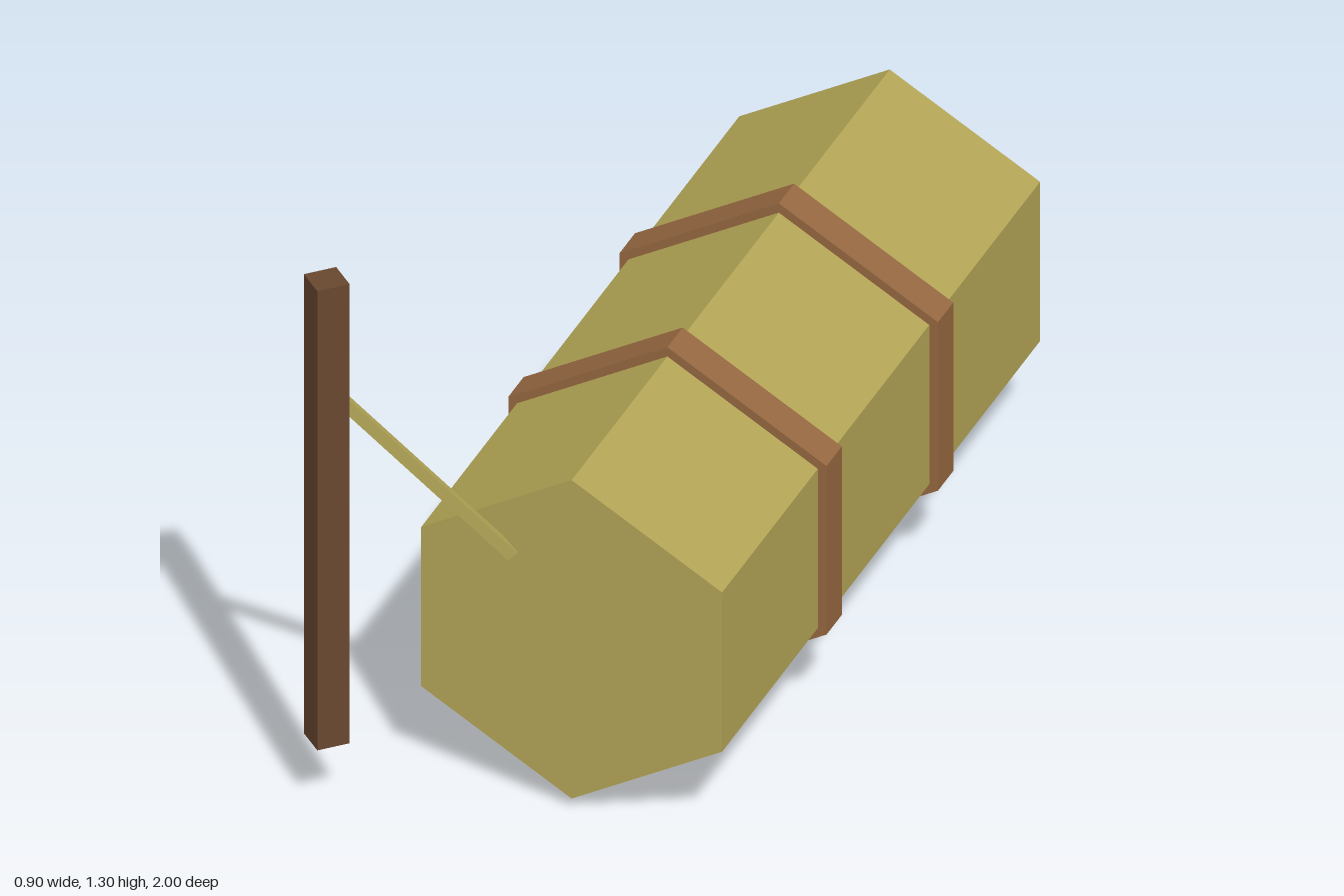
import * as THREE from 'three';

const material = (name, color) => {
  const m = new THREE.MeshStandardMaterial({ color, flatShading: true });
  m.name = name;
  return m;
};

// Points of a hexagon standing on a corner
const hexagon = (r) => Array.from({ length: 6 }, (_, i) => {
  const a = Math.PI / 2 + (i * Math.PI) / 3;
  return new THREE.Vector2(r * Math.cos(a), r * Math.sin(a));
});

export function createModel() {
  const group = new THREE.Group();
  const straw = material('straw', 0xb3a556);
  const strapBrown = material('strapBrown', 0x966840);
  const darkWood = material('darkWood', 0x68472f);

  const add = (name, geometry, mat, x, y, z) => {
    const mesh = new THREE.Mesh(geometry, mat);
    mesh.name = name;
    mesh.position.set(x, y, z);
    group.add(mesh);
    return mesh;
  };
  const cx = 0.087, cy = 0.42;

  // Long hexagonal body
  const body = new THREE.ExtrudeGeometry(new THREE.Shape(hexagon(0.397)), { depth: 1.77, bevelEnabled: false });
  add('body', body, straw, cx, cy, -1);

  // Two straps wrapped round the body
  const ring = new THREE.Shape(hexagon(0.42));
  ring.holes.push(new THREE.Path(hexagon(0.39).reverse()));
  const strap = new THREE.ExtrudeGeometry(ring, { depth: 0.085, bevelEnabled: false });
  add('frontStrap', strap, strapBrown, cx, cy, 0.152);
  add('backStrap', strap, strapBrown, cx, cy, -0.468);

  // Upright post, turned corner-on
  const post = add('post', new THREE.BoxGeometry(0.074, 1.145, 0.074), darkWood, -0.4, 0.7325, 0.947);
  post.rotation.y = Math.PI / 4;

  // Thin rod joining the post to the body
  const start = new THREE.Vector3(-0.375, 1.005, 0.932);
  const end = new THREE.Vector3(-0.048, 0.6, 0.77);
  const mid = start.clone().add(end).multiplyScalar(0.5);
  const rod = add('rod', new THREE.BoxGeometry(0.02, 0.027, start.distanceTo(end)), straw, mid.x, mid.y, mid.z);
  rod.lookAt(end);

  return group;
}
